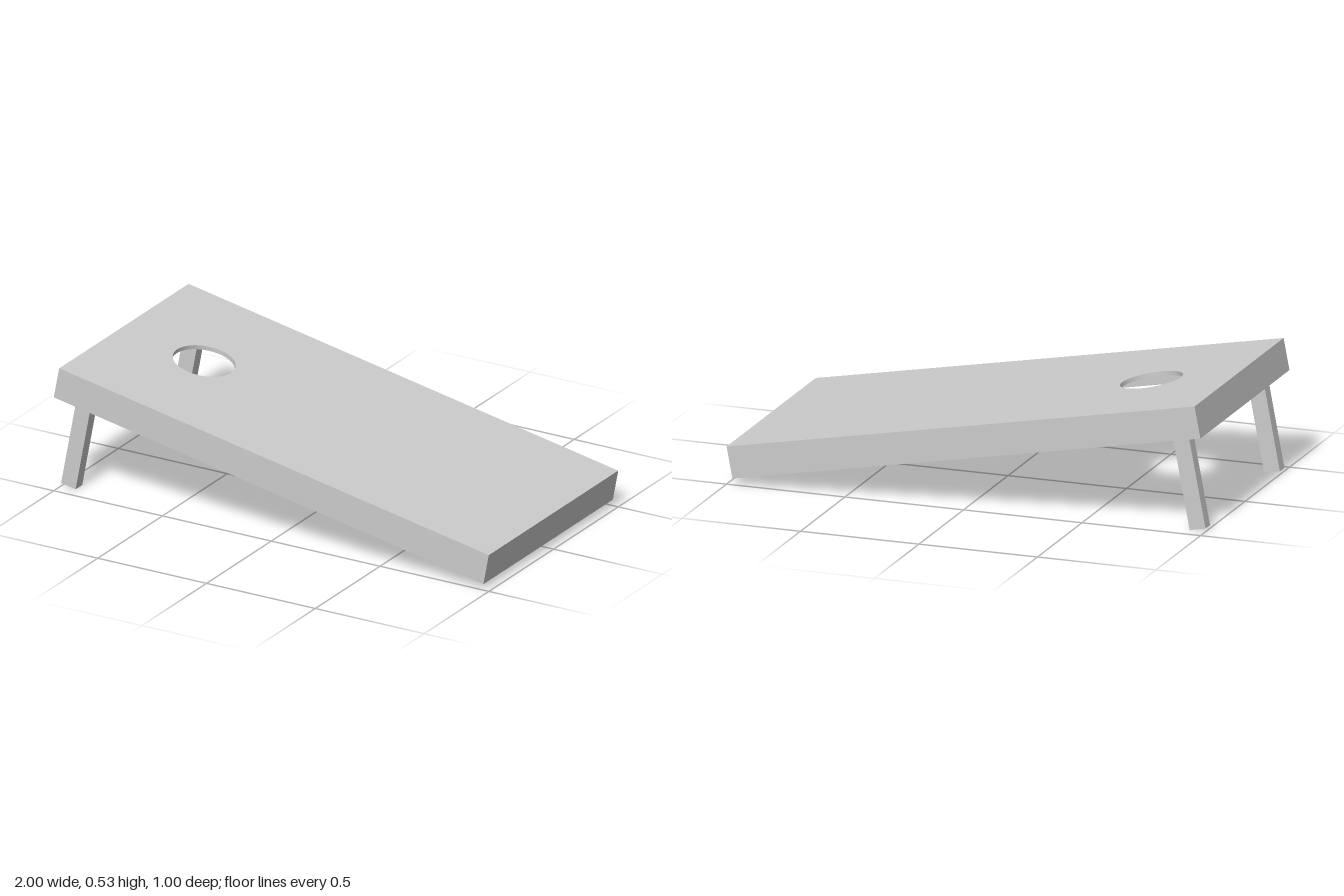
import * as THREE from 'three';

const LENGTH = 2.01, WIDTH = 1, HEIGHT = 0.132; // whole board
const PANEL = 0.018, RIM = 0.057;               // panel and frame thickness
const TILT = THREE.MathUtils.degToRad(10.75);

const material = new THREE.MeshStandardMaterial({ color: 0xcccccc });

// Rectangle running from u0 to u1 along the board, centred across it
function rectangle(target, u0, u1, half) {
  target.moveTo(u0, -half);
  target.lineTo(u1, -half);
  target.lineTo(u1, half);
  target.lineTo(u0, half);
  target.closePath();
  return target;
}

// Flat slab with a hole, its underside at height y
function slab(name, hole, thickness, y) {
  const shape = rectangle(new THREE.Shape(), 0, LENGTH, WIDTH / 2);
  shape.holes.push(hole);
  const geometry = new THREE.ExtrudeGeometry(shape, {
    depth: thickness, bevelEnabled: false, curveSegments: 32,
  });
  geometry.rotateX(-Math.PI / 2);
  const mesh = new THREE.Mesh(geometry, material);
  mesh.name = name;
  mesh.position.y = y;
  return mesh;
}

export function createModel() {
  const model = new THREE.Group();
  model.name = 'tossBoard';

  // Everything is built square, from the raised top edge, then tilted
  const board = new THREE.Group();
  board.name = 'tiltedBoard';
  board.position.set(-0.975, 0.53, 0);
  board.rotation.z = -TILT;
  model.add(board);

  // Top panel with the round target hole
  const target = new THREE.Path().absarc(0.376, 0, 0.126, 0, Math.PI * 2, true);
  board.add(slab('topPanel', target, PANEL, -PANEL));

  // Open frame under the panel
  const opening = rectangle(new THREE.Path(), RIM, LENGTH - RIM, WIDTH / 2 - RIM);
  board.add(slab('frame', opening, HEIGHT - PANEL, -HEIGHT));

  // Two legs inside the raised end of the frame
  const legTop = -PANEL, legEnd = -0.513;
  for (const side of [-1, 1]) {
    const leg = new THREE.Mesh(new THREE.BoxGeometry(0.068, legTop - legEnd, 0.051), material);
    leg.name = side > 0 ? 'frontLeg' : 'backLeg';
    leg.position.set(0.106, (legTop + legEnd) / 2, side * 0.4175);
    board.add(leg);
  }
  return model;
}
